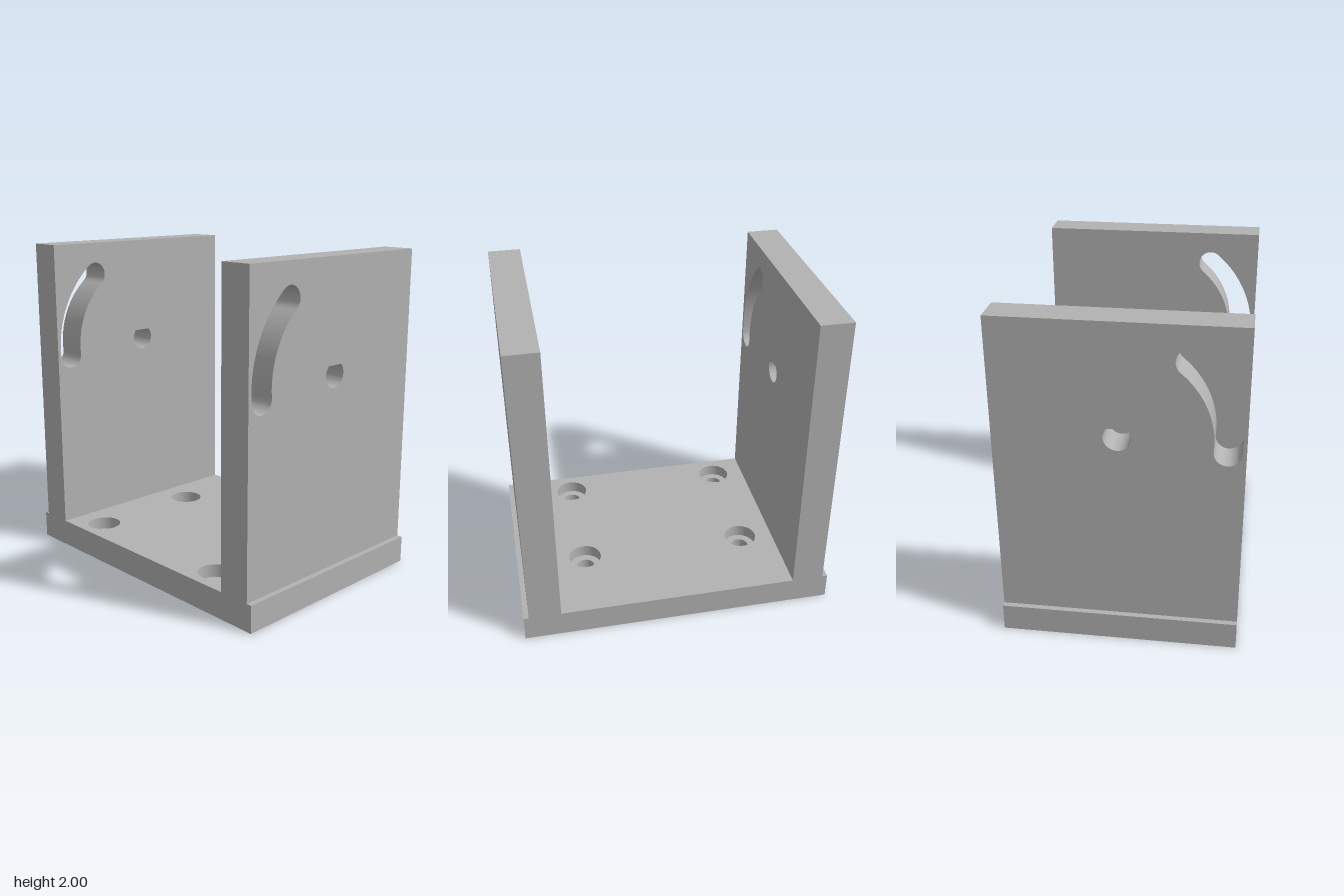
import * as THREE from 'three';
import { toCreasedNormals } from 'three/addons/utils/BufferGeometryUtils.js';

const W = 0.698, HALF_D = 0.983, BASE_H = 0.167, TOP = 2;
const WALL_IN = 0.75, WALL_T = 0.2;
const PIVOT_Y = 1.335, HOLE_R = 0.077, SLOT_R = 0.6;
const rad = THREE.MathUtils.degToRad;

function rectangle(x0, y0, x1, y1) {
  return new THREE.Shape([[x0, y0], [x1, y0], [x1, y1], [x0, y1]].map(p => new THREE.Vector2(...p)));
}

function extrude(shape, depth) {
  return new THREE.ExtrudeGeometry(shape, { depth, bevelEnabled: false, curveSegments: 28 });
}

// Curved adjustment slot, concentric with the pivot hole
function slotPath() {
  const a = rad(185), b = rad(130);
  const cap = (path, t, from) => path.absarc(
    SLOT_R * Math.cos(t), PIVOT_Y + SLOT_R * Math.sin(t), HOLE_R, from, from - Math.PI, true);
  const path = new THREE.Path();
  path.absarc(0, PIVOT_Y, SLOT_R + HOLE_R, a, b, true);
  cap(path, b, b);
  path.absarc(0, PIVOT_Y, SLOT_R - HOLE_R, b, a, false);
  cap(path, a, a - Math.PI);
  path.closePath();
  return path;
}

// Teardrop pivot hole with a 45 degree peak
function teardropPath() {
  const path = new THREE.Path();
  path.moveTo(0, PIVOT_Y + HOLE_R * Math.SQRT2);
  path.absarc(0, PIVOT_Y, HOLE_R, rad(135), rad(405), false);
  path.closePath();
  return path;
}

// One layer of the base plate with four round holes
function baseLayer(holeRadius, y0, y1) {
  const shape = rectangle(-W, -HALF_D, W, HALF_D);
  for (const x of [-0.535, 0.2]) {
    for (const z of [-0.535, 0.535]) {
      const hole = new THREE.Path();
      hole.absarc(x, z, holeRadius, 0, Math.PI * 2, true);
      shape.holes.push(hole);
    }
  }
  return extrude(shape, y1 - y0).rotateX(-Math.PI / 2).translate(0, y0, 0);
}

export function createModel() {
  const group = new THREE.Group();
  group.name = 'slottedBracket';
  const grey = new THREE.MeshStandardMaterial({ color: 0xb2b2b2 });
  grey.name = 'grey';

  const add = (name, geometry) => {
    const mesh = new THREE.Mesh(toCreasedNormals(geometry, rad(30)), grey);
    mesh.name = name;
    group.add(mesh);
  };

  // Base: through holes below, wider counterbores above
  const step = 0.087;
  add('baseLower', baseLayer(0.058, 0, step));
  add('baseUpper', baseLayer(0.105, step, BASE_H));

  // Matching front and back walls
  const wall = rectangle(-W, BASE_H, W, TOP);
  wall.holes.push(slotPath(), teardropPath());
  add('frontWall', extrude(wall, WALL_T).translate(0, 0, WALL_IN));
  add('backWall', extrude(wall, WALL_T).translate(0, 0, -WALL_IN - WALL_T));

  return group;
}
